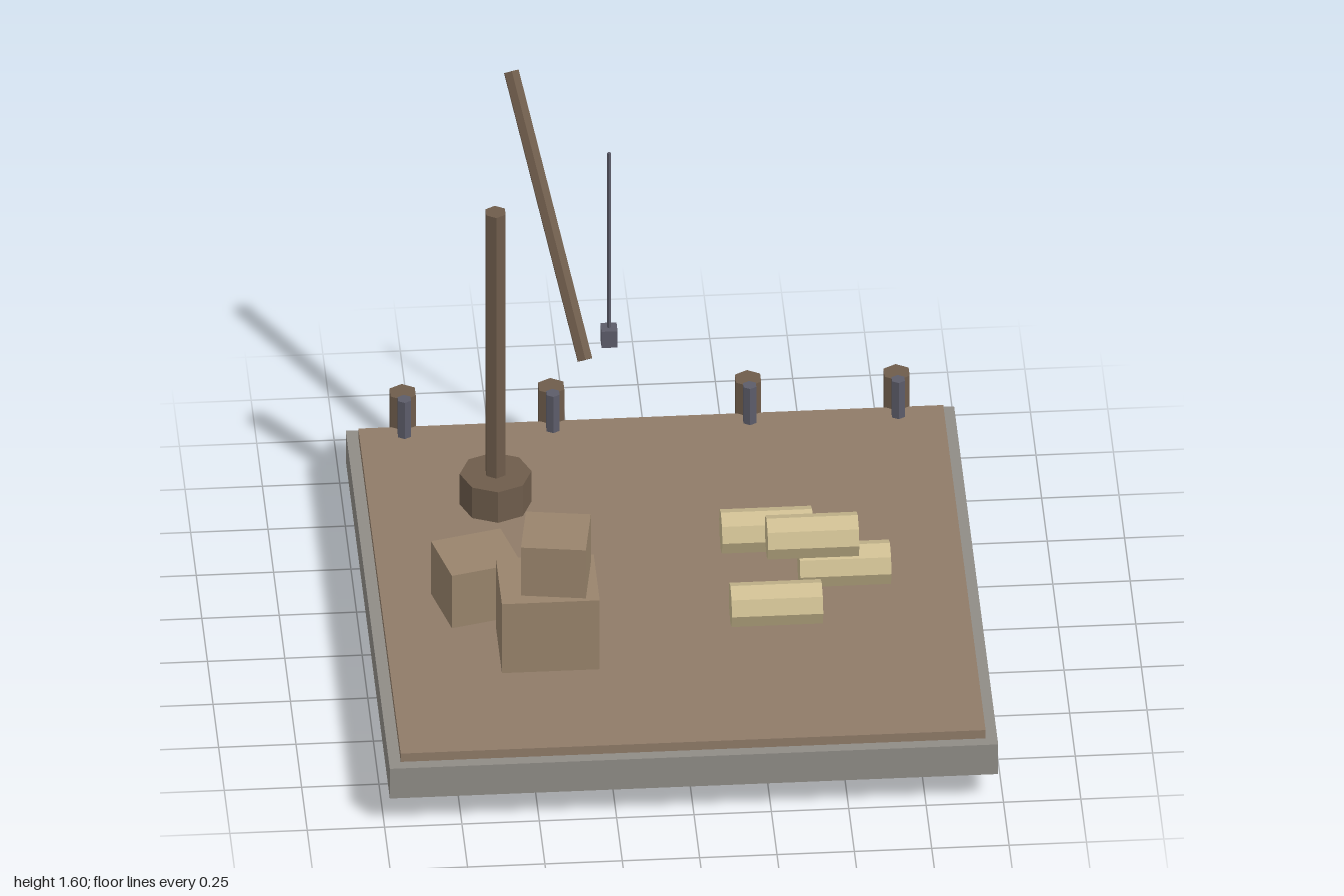
import * as THREE from 'three';

const mat = (color) => new THREE.MeshStandardMaterial({ color, flatShading: true });

export function createModel() {
  const group = new THREE.Group();
  const stone = mat(0x8f8c86), planks = mat(0x8f7b68), timber = mat(0x6e5c4b);
  const crateWood = mat(0x99846c), logWood = mat(0xcdbd92), iron = mat(0x5c5c69);

  const add = (name, geometry, material, x, y, z) => {
    const mesh = new THREE.Mesh(geometry, material);
    mesh.name = name;
    mesh.position.set(x, y, z);
    group.add(mesh);
    return mesh;
  };
  // Box and prism standing between two heights
  const box = (name, m, w, d, y0, y1, x, z) =>
    add(name, new THREE.BoxGeometry(w, y1 - y0, d), m, x, (y0 + y1) / 2, z);
  const prism = (name, m, r, sides, y0, y1, x, z) =>
    add(name, new THREE.CylinderGeometry(r, r, y1 - y0, sides), m, x, (y0 + y1) / 2, z);

  // Quay slab and deck
  const deckTop = 0.257;
  box('quaySlab', stone, 1.966, 1.966, 0.11, 0.225, 0, 0.017);
  box('deck', planks, 1.89, 1.89, 0.225, deckTop, 0, 0.017);

  // Mooring piles with bollards along the back edge
  for (const x of [-0.8, -0.32, 0.316, 0.796]) {
    prism('pile', timber, 0.047, 6, 0, 0.375, x, -0.953);
    prism('bollard', iron, 0.024, 6, deckTop, 0.397, x, -0.88);
  }

  // Crane: foot, mast, leaning boom, cable and weight
  prism('craneFoot', timber, 0.116, 8, deckTop, 0.375, -0.535, -0.466);
  prism('craneMast', timber, 0.036, 6, 0.375, 1.385, -0.535, -0.466);
  const boom = add('craneBoom', new THREE.CylinderGeometry(0.027, 0.027, 0.96, 6), timber, -0.348, 1.203, -0.704);
  boom.rotation.set(-0.624, 0, 0.208);
  prism('craneCable', iron, 0.007, 4, 0.63, 1.305, -0.137, -0.9);
  box('craneWeight', iron, 0.052, 0.052, 0.567, 0.63, -0.137, -0.9);

  // Crates
  box('largeCrate', crateWood, 0.316, 0.266, deckTop, 0.524, -0.428, 0.387);
  box('stackedCrate', crateWood, 0.21, 0.21, 0.524, 0.71, -0.402, 0.386).rotation.y = -0.15;
  box('looseCrate', crateWood, 0.236, 0.212, deckTop, 0.46, -0.64, 0.117).rotation.y = 0.25;

  // Log pile
  for (const [x, y, z] of [
    [0.317, 0.327, 0.283], [0.553, 0.327, 0.07], [0.317, 0.327, -0.144], [0.449, 0.44, 0.07],
  ]) {
    add('log', new THREE.CylinderGeometry(0.073, 0.073, 0.295, 8), logWood, x, y, z).rotation.z = Math.PI / 2;
  }
  return group;
}
